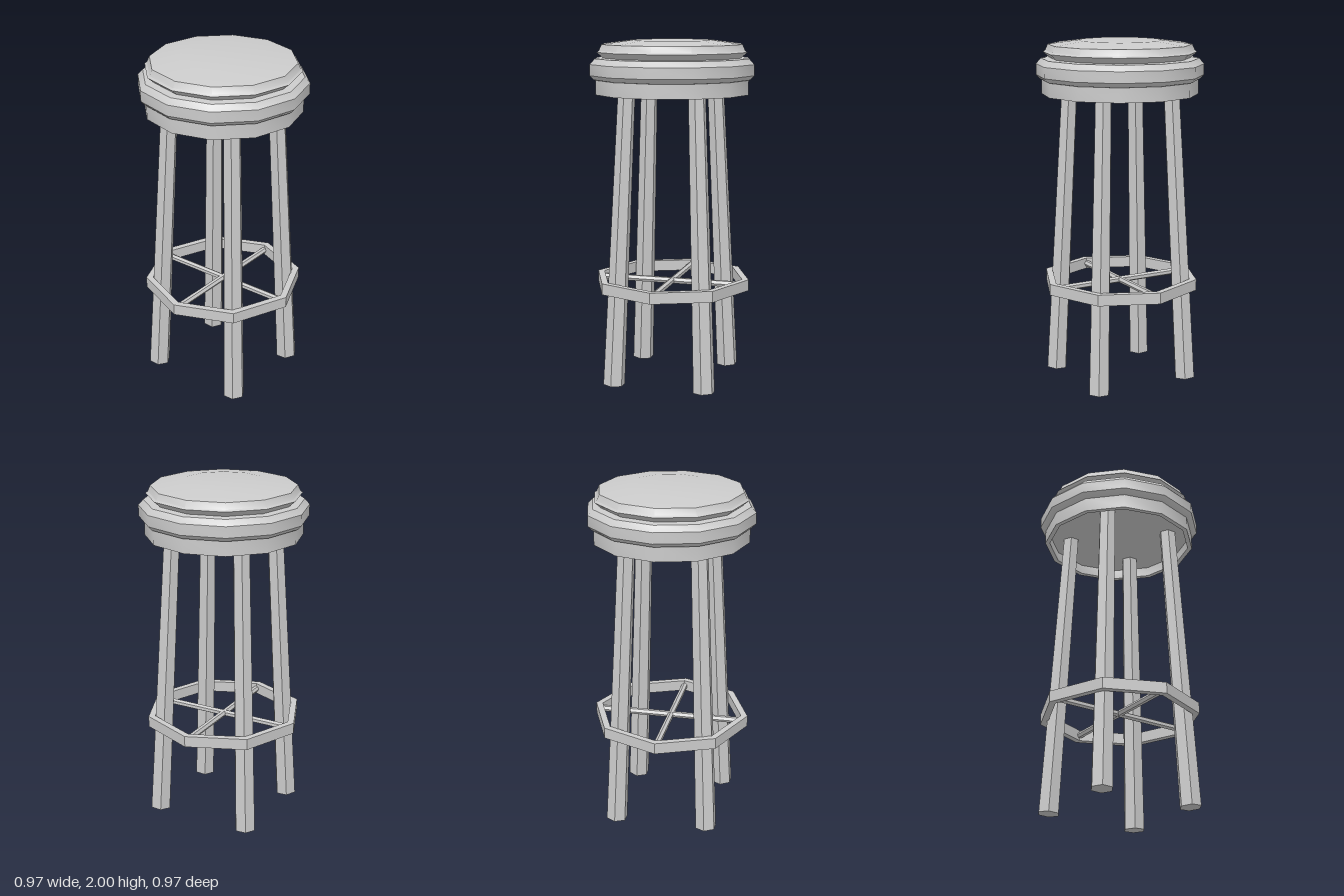
import * as THREE from 'three';
import { toCreasedNormals } from 'three/addons/utils/BufferGeometryUtils.js';

const material = new THREE.MeshStandardMaterial({ color: 0xcccccc });
const UP = new THREE.Vector3(0, 1, 0);

function part(name, geometry, crease = 0.6) {
  const mesh = new THREE.Mesh(toCreasedNormals(geometry, crease), material);
  mesh.name = name;
  return mesh;
}

// Faceted solid of revolution from [radius, height] pairs
function turned(name, profile, sides) {
  const points = profile.map(([r, y]) => new THREE.Vector2(r, y));
  return part(name, new THREE.LatheGeometry(points, sides));
}

// Straight tapered six-sided bar between two points
function bar(name, from, to, rFrom, rTo) {
  const axis = to.clone().sub(from);
  const mesh = part(name, new THREE.CylinderGeometry(rTo, rFrom, axis.length(), 6));
  mesh.position.copy(from).add(to).multiplyScalar(0.5);
  mesh.quaternion.setFromUnitVectors(UP, axis.normalize());
  return mesh;
}

export function createModel() {
  const stool = new THREE.Group();
  stool.name = 'stool';

  // Seat: recessed underside, skirt, wide band, groove and cushion
  stool.add(turned('seat', [
    [0, 1.75], [0.425, 1.75], [0.425, 1.692], [0.452, 1.692],
    [0.452, 1.775], [0.462, 1.778], [0.484, 1.802], [0.484, 1.865],
    [0.455, 1.897], [0.405, 1.9], [0.443, 1.933], [0.43, 1.942],
    [0.415, 1.977], [0.24, 2], [0, 2],
  ], 12));

  // Four splayed, tapering legs
  for (const [sx, side] of [[1, 'Left'], [-1, 'Right']]) {
    for (const [sz, end] of [[1, 'front'], [-1, 'back']]) {
      stool.add(bar(`${end}${side}Leg`,
        new THREE.Vector3(sx * 0.272, 0.003, sz * 0.292),
        new THREE.Vector3(sx * 0.204, 1.76, sz * 0.22), 0.064, 0.05));
    }
  }

  // Octagonal foot ring around the legs
  stool.add(turned('footRing', [
    [0.425, 0.548], [0.465, 0.548], [0.465, 0.613], [0.425, 0.613], [0.425, 0.548],
  ], 8));

  // Crossed brace rods inside the ring
  stool.add(bar('sideBrace', new THREE.Vector3(-0.44, 0.58, 0),
    new THREE.Vector3(0.44, 0.58, 0), 0.019, 0.019));
  stool.add(bar('frontBackBrace', new THREE.Vector3(0, 0.58, -0.44),
    new THREE.Vector3(0, 0.58, 0.44), 0.019, 0.019));

  return stool;
}
